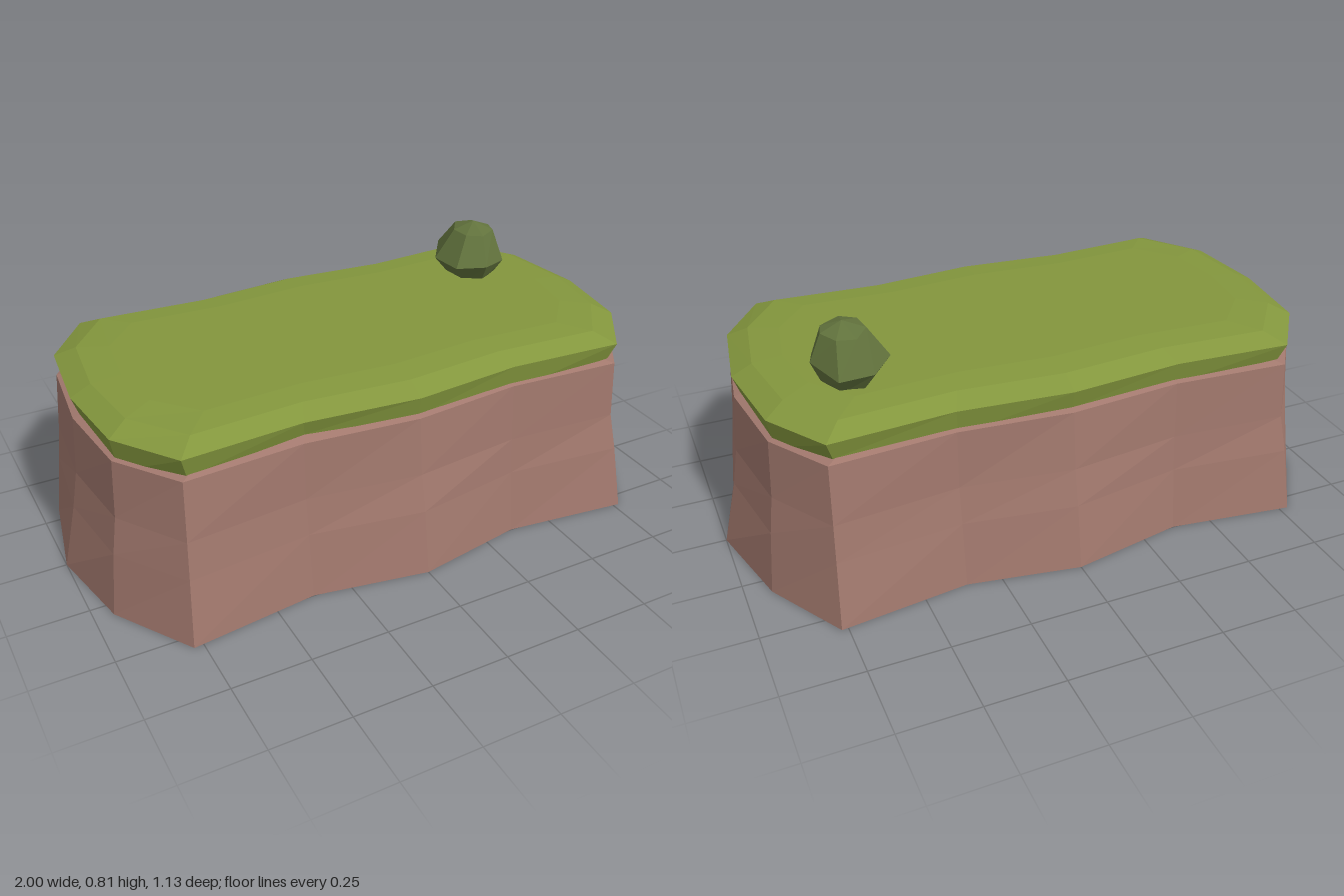
import * as THREE from 'three';

// Stacks rings of [x, y, z] points (listed from +x towards +z, lowest ring first) into a closed faceted solid.
function loft(rings, peak) {
  const out = [];
  const n = rings[0].length;
  const centre = (r) => [0, 1, 2].map((k) => r.reduce((s, p) => s + p[k], 0) / n);
  const tri = (...pts) => pts.forEach((p) => out.push(...p));
  const last = rings[rings.length - 1];
  const bottom = centre(rings[0]);
  const top = peak || centre(last);
  for (let i = 0; i < n; i++) {
    const j = (i + 1) % n;
    tri(bottom, rings[0][i], rings[0][j]);
    for (let k = 0; k < rings.length - 1; k++) {
      const a = rings[k][i], b = rings[k][j], c = rings[k + 1][j], d = rings[k + 1][i];
      tri(a, d, b);
      tri(b, d, c);
    }
    tri(top, last[j], last[i]);
  }
  const geo = new THREE.BufferGeometry();
  geo.setAttribute('position', new THREE.Float32BufferAttribute(out, 3));
  geo.computeVertexNormals();
  return geo;
}

// Plan outlines as [x, z]
const base = [
  [1, 0], [0.92, 0.3], [0.77, 0.55], [0.36, 0.5], [0, 0.565], [-0.37, 0.5], [-0.78, 0.55], [-0.94, 0.3],
  [-1, 0], [-0.94, -0.31], [-0.78, -0.555], [-0.37, -0.5], [0, -0.57], [0.36, -0.51], [0.77, -0.56], [0.92, -0.31],
];
const turf = [
  [0.915, 0], [0.875, 0.28], [0.74, 0.475], [0.36, 0.45], [0, 0.485], [-0.37, 0.45], [-0.75, 0.475], [-0.89, 0.28],
  [-0.92, 0], [-0.89, -0.29], [-0.75, -0.48], [-0.37, -0.455], [0, -0.487], [0.36, -0.455], [0.75, -0.482], [0.875, -0.29],
];
// Height of the ragged lower grass edge at each outline point
const hem = [0.525, 0.505, 0.535, 0.49, 0.52, 0.54, 0.52, 0.475, 0.525, 0.5, 0.535, 0.51, 0.525, 0.5, 0.53, 0.49];

const bushOutline = [
  [0.715, -0.2], [0.69, -0.11], [0.575, -0.042], [0.49, -0.1], [0.477, -0.22], [0.56, -0.335], [0.66, -0.31],
];

export function createModel() {
  const group = new THREE.Group();
  const material = (name, color) => {
    const m = new THREE.MeshStandardMaterial({ color, flatShading: true });
    m.name = name;
    return m;
  };
  const add = (name, geo, mat) => {
    const mesh = new THREE.Mesh(geo, mat);
    mesh.name = name;
    group.add(mesh);
  };

  // Rock body tapering from the base outline to the turf outline, slightly uneven
  const rockRing = (y, t, wobble) => base.map(([x, z], i) => {
    const s = t + wobble * Math.sin(i * 2.3 + y * 9);
    return [x + (turf[i][0] - x) * s, y, z + (turf[i][1] - z) * s];
  });
  const rockTop = turf.map(([x, z]) => [x * 0.92, 0.545, z * 0.92]);
  add('rock', loft([
    rockRing(0, 0, 0), rockRing(0.21, 0.5, 0.08), rockRing(0.33, 0.8, 0.08), rockRing(0.52, 1, 0), rockTop,
  ]), material('rock brown', 0xa1786d));

  // Grass slab with a ragged lower edge and a soft bevel on top
  const inset = (y, d) => turf.map(([x, z]) => [x * (1 - d / 0.92), y, z * (1 - d / 0.485)]);
  const rim = turf.map(([x, z], i) => [x * 0.975, hem[i], z * 0.965]);
  add('grass', loft([
    inset(0.54, 0.06), rim, inset(0.59, 0), inset(0.622, 0.065), inset(0.63, 0.16),
  ]), material('grass green', 0x83963d));

  // Faceted bush standing on the grass
  const bushRing = (y, s, dx = 0) => bushOutline.map(([x, z]) => [0.6 + dx + (x - 0.6) * s, y, -0.19 + (z + 0.19) * s]);
  const widest = bushRing(0.685, 1).map(([x, y, z], i) => [x, y + 0.012 * Math.cos(i * 2.7), z]);
  add('bush', loft([
    bushRing(0.61, 0.6, 0.01), widest, bushRing(0.782, 0.57, 0.012),
  ], [0.61, 0.81, -0.19]), material('bush green', 0x62733d));

  return group;
}
